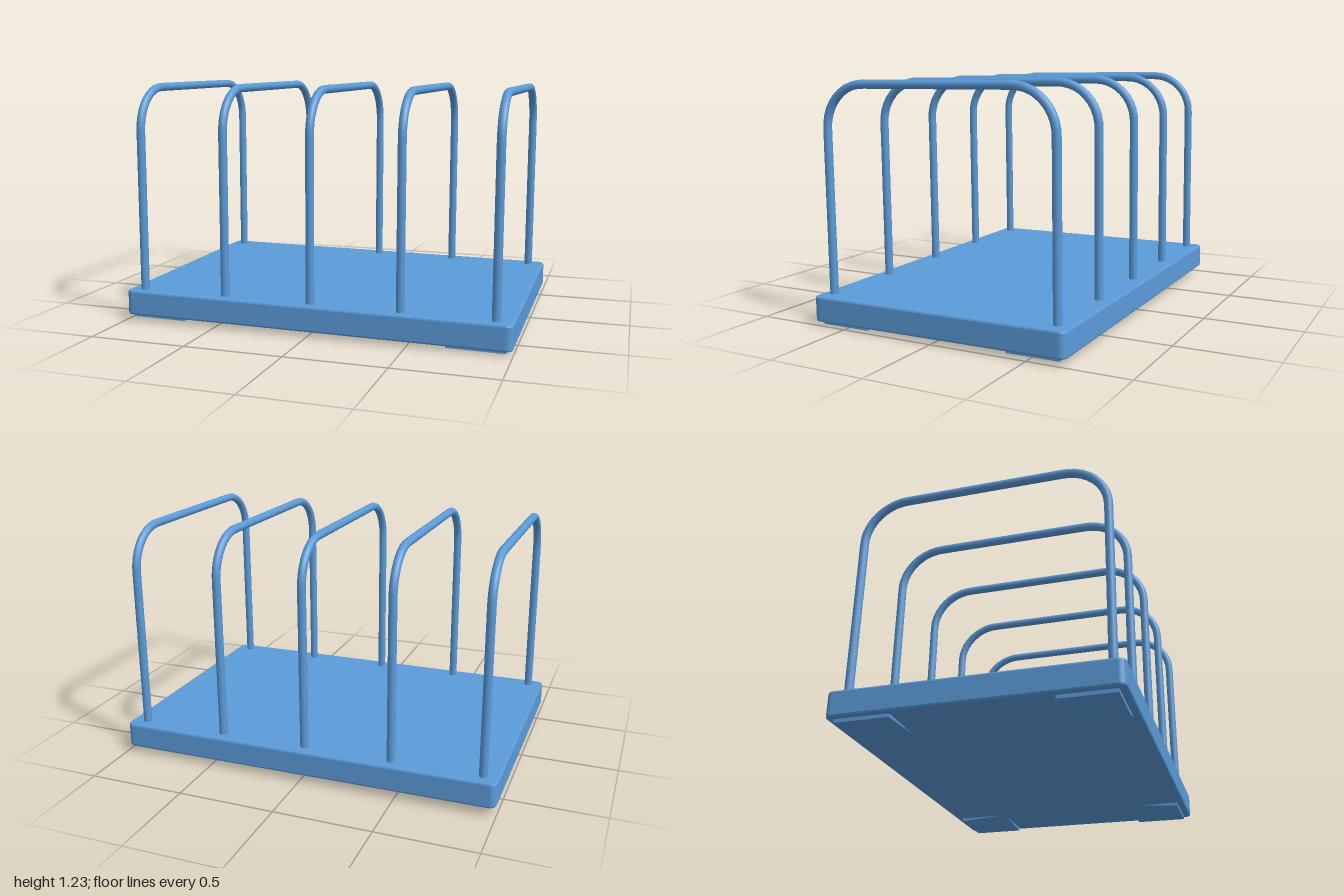
import * as THREE from 'three';
import { ConvexGeometry } from 'three/addons/geometries/ConvexGeometry.js';

const v = (x, y, z) => new THREE.Vector3(x, y, z);

// Rounded slab with a small bevel all round
function baseGeometry(w, d, bottom, top) {
  const b = 0.01, r = 0.025, x = w / 2 - b, z = d / 2 - b;
  const s = new THREE.Shape();
  s.moveTo(-x + r, -z);
  s.lineTo(x - r, -z).absarc(x - r, -z + r, r, -Math.PI / 2, 0);
  s.absarc(x - r, z - r, r, 0, Math.PI / 2);
  s.absarc(-x + r, z - r, r, Math.PI / 2, Math.PI);
  s.absarc(-x + r, -z + r, r, Math.PI, Math.PI * 1.5);
  const g = new THREE.ExtrudeGeometry(s, {
    depth: top - bottom - 2 * b, bevelSize: b, bevelThickness: b, bevelSegments: 2, curveSegments: 5,
  });
  return g.rotateX(-Math.PI / 2).translate(0, bottom + b, 0);
}

// Inverted U: two legs, two round bends and a straight top bar
function hoopGeometry(halfSpan, foot, top, bend, radius) {
  const k = bend * 0.448, zi = halfSpan - bend, yi = top - bend, h = halfSpan;
  const path = new THREE.CurvePath();
  path.add(new THREE.LineCurve3(v(0, foot, h), v(0, yi, h)));
  path.add(new THREE.CubicBezierCurve3(v(0, yi, h), v(0, top - k, h), v(0, top, zi + bend - k), v(0, top, zi)));
  path.add(new THREE.LineCurve3(v(0, top, zi), v(0, top, -zi)));
  path.add(new THREE.CubicBezierCurve3(v(0, top, -zi), v(0, top, -zi - bend + k), v(0, top - k, -h), v(0, yi, -h)));
  path.add(new THREE.LineCurve3(v(0, yi, -h), v(0, foot, -h)));
  return new THREE.TubeGeometry(path, 90, radius, 12);
}

// Shallow corner pad that slopes up into the underside
function footGeometry(sx, sz) {
  const xo = 0.965 * sx, xi = 0.68 * sx, zo = 0.65 * sz, zi = 0.38 * sz;
  const low = 0.0125, high = 0.032;
  return new ConvexGeometry([
    v(xo, low, zo), v(xi, low, zo), v(xo, low, zi),
    v(xo, high, zo), v(xi, high, zo), v(xo, high, zi), v(xi, high, zi),
  ]);
}

export function createModel() {
  const model = new THREE.Group();
  model.name = 'rack';
  const blue = new THREE.MeshStandardMaterial({ color: 0x5b9bd9 });
  blue.name = 'blue';

  // The whole rack leans very slightly
  const body = new THREE.Group();
  body.name = 'rackBody';
  body.rotation.set(0.0085, 0, -0.0065);
  model.add(body);

  const add = (name, geometry) => {
    const mesh = new THREE.Mesh(geometry, blue);
    mesh.name = name;
    body.add(mesh);
    return mesh;
  };

  add('base', baseGeometry(1.995, 1.375, 0.03, 0.158));

  // Five evenly spaced dividers
  const hoop = hoopGeometry(0.618, 0.12, 1.199, 0.215, 0.0215);
  for (let i = -2; i <= 2; i++) {
    add('divider' + (i + 3), hoop).position.set(i * 0.458 - 0.004, 0, 0.003);
  }

  // Corner feet
  for (const [side, sx] of [['Left', 1], ['Right', -1]]) {
    for (const [end, sz] of [['front', 1], ['back', -1]]) add(end + side + 'Foot', footGeometry(sx, sz));
  }
  return model;
}
